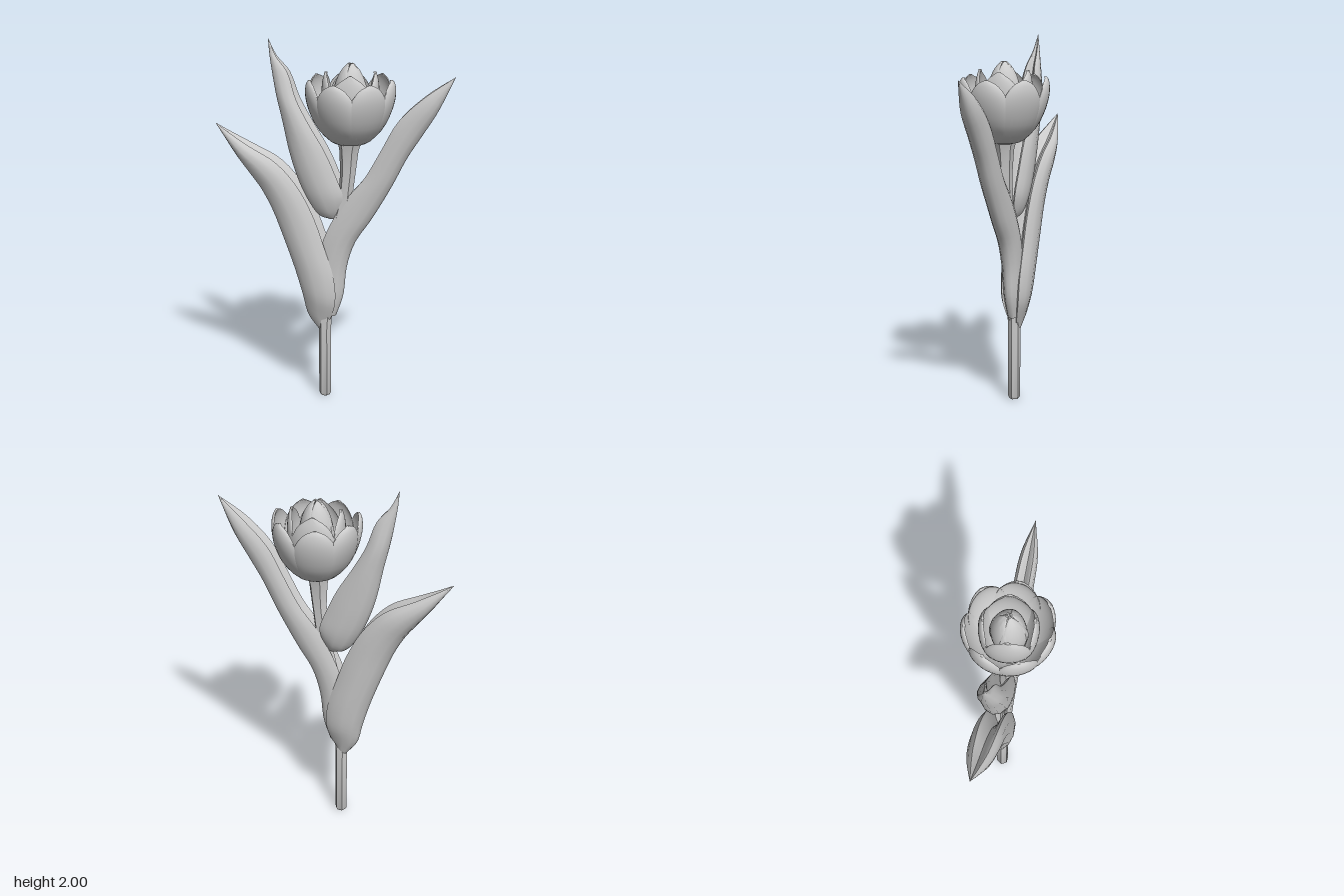
import * as THREE from 'three';
import { toCreasedNormals } from 'three/addons/utils/BufferGeometryUtils.js';

const V = (x, y, z = 0) => new THREE.Vector3(x, y, z);
const material = new THREE.MeshStandardMaterial({ color: 0xcccccc, side: THREE.DoubleSide });

// Skins a closed solid over a row of equal-length point loops
function loft(name, rings, crease = 0.75) {
  const n = rings[0].length, pts = rings.flat(), index = [];
  for (let i = 0; i < rings.length - 1; i++) {
    for (let j = 0; j < n; j++) {
      const a = i * n + j, b = i * n + (j + 1) % n;
      index.push(a, b, a + n, b, b + n, a + n);
    }
  }
  // Caps at both ends, fanned from the ring centres
  for (const end of [0, rings.length - 1]) {
    const centre = pts.length;
    pts.push(rings[end].reduce((s, p) => s.add(p), V(0, 0)).divideScalar(n));
    for (let j = 0; j < n; j++) {
      const a = end * n + j, b = end * n + (j + 1) % n;
      index.push(...(end ? [a, b, centre] : [b, a, centre]));
    }
  }
  // Turn the faces outward if the loops run the other way round
  let volume = 0;
  for (let i = 0; i < index.length; i += 3) {
    volume += pts[index[i]].dot(V(0, 0).crossVectors(pts[index[i + 1]], pts[index[i + 2]]));
  }
  if (volume < 0) index.reverse();
  const geo = new THREE.BufferGeometry().setFromPoints(pts);
  geo.setIndex(index);
  const mesh = new THREE.Mesh(toCreasedNormals(geo, crease), material);
  mesh.name = name;
  return mesh;
}

// Channel-shaped leaf. Each station: keel x, y, rim x, y, half width in z
function leaf(name, stations, groove, zShift) {
  const keel = new THREE.CatmullRomCurve3(stations.map(s => V(s[0], s[1], s[4])));
  const rim = new THREE.CatmullRomCurve3(stations.map(s => V(s[2], s[3])));
  // Section: [depth from keel to rim, share of the half width]
  const half = [[0.05, 0.45], [0.22, 0.85], [0.5, 1], [0.8, 0.92], [1, 0.62], [0.95, 0.45], [groove + 0.1, 0.22]];
  const section = [[0, 0], ...half, [groove, 0], ...half.map(([d, z]) => [d, -z]).reverse()];
  const rings = [], steps = 36;
  for (let i = 0; i <= steps; i++) {
    const k = keel.getPoint(i / steps), r = rim.getPoint(i / steps);
    const h = Math.max(k.z, 0.001);
    rings.push(section.map(([d, z]) =>
      V(k.x + (r.x - k.x) * d, k.y + (r.y - k.y) * d, z * h + zShift)));
  }
  return loft(name, rings);
}

// Cupped petal facing +z. Each station: distance from axis, y, half width
function petal(name, stations, angle) {
  const curve = new THREE.CatmullRomCurve3(stations.map(s => V(...s)));
  const rings = [], steps = 16, across = 10, bend = 1.1;
  for (let i = 0; i <= steps; i++) {
    const { x: r, y, z: w } = curve.getPoint(i / steps), ring = [];
    const arc = (u, inset) => V(
      w * Math.sin(u * bend) / Math.sin(bend), y,
      r - 0.75 * w * (1 - Math.cos(u * bend)) - inset * (1 - 0.7 * u * u));
    for (let j = 0; j <= across; j++) ring.push(arc(j / across * 2 - 1, 0));
    for (let j = across; j >= 0; j--) ring.push(arc(j / across * 2 - 1, 0.016));
    rings.push(ring);
  }
  const mesh = loft(name, rings);
  mesh.rotation.y = THREE.MathUtils.degToRad(angle);
  return mesh;
}

export function createModel() {
  const model = new THREE.Group();
  model.name = 'tulip';

  // Six-sided stem, bending right and flaring under the bloom
  const stem = [
    [-0.042, 0, 0.026], [-0.042, 0.015, 0.034], [-0.042, 0.4, 0.034], [-0.03, 0.6, 0.036],
    [0.015, 0.9, 0.04], [0.07, 1.15, 0.038], [0.085, 1.3, 0.042], [0.09, 1.42, 0.052], [0.095, 1.49, 0.07],
  ].map(([x, y, r]) => Array.from({ length: 6 }, (_, i) => {
    const a = i / 6 * Math.PI * 2;
    return V(x + r * Math.cos(a), y, r * Math.sin(a));
  }));
  model.add(loft('stem', stem));

  // Leaves, from the base to the tip
  model.add(leaf('rightLeaf', [
    [-0.075, 0.39, -0.02, 0.44, 0.025], [-0.14, 0.48, 0.0, 0.48, 0.045], [-0.17, 0.6, 0.025, 0.57, 0.075],
    [-0.215, 0.75, 0.02, 0.7, 0.085], [-0.28, 0.93, -0.03, 0.87, 0.085], [-0.34, 1.08, -0.09, 1.04, 0.083],
    [-0.4, 1.19, -0.18, 1.21, 0.083], [-0.46, 1.27, -0.3, 1.34, 0.082], [-0.53, 1.36, -0.45, 1.42, 0.065],
    [-0.6, 1.46, -0.57, 1.485, 0.03], [-0.65, 1.53, -0.648, 1.531, 0.001],
  ], 0.6, -0.006));
  model.add(leaf('leftLeaf', [
    [0.02, 0.48, -0.1, 0.48, 0.035], [0.06, 0.6, -0.1, 0.6, 0.045], [0.08, 0.77, -0.08, 0.77, 0.05],
    [0.125, 0.91, -0.045, 0.92, 0.053], [0.21, 1.04, 0.02, 1.06, 0.054], [0.275, 1.15, 0.09, 1.17, 0.054],
    [0.335, 1.26, 0.18, 1.28, 0.054], [0.405, 1.4, 0.265, 1.43, 0.054], [0.48, 1.52, 0.36, 1.6, 0.053],
    [0.56, 1.65, 0.5, 1.735, 0.045], [0.65, 1.84, 0.645, 1.837, 0.001],
  ], 0.65, -0.006));
  model.add(leaf('middleLeaf', [
    [-0.01, 1.035, 0.03, 1.05, 0.025], [-0.075, 1.055, 0.055, 1.11, 0.05], [-0.145, 1.15, 0.065, 1.18, 0.07],
    [-0.2, 1.27, 0.025, 1.29, 0.075], [-0.24, 1.4, -0.035, 1.42, 0.075], [-0.275, 1.57, -0.12, 1.56, 0.073],
    [-0.305, 1.7, -0.19, 1.69, 0.065], [-0.33, 1.83, -0.24, 1.83, 0.04], [-0.343, 1.92, -0.305, 1.91, 0.018],
    [-0.35, 2.0, -0.348, 1.998, 0.001],
  ], 0.55, -0.008));

  // Bloom: open outer petals, a tighter ring and a pointed bud
  const bloom = new THREE.Group();
  bloom.name = 'bloom';
  bloom.position.set(0.097, 0, -0.002);
  const outer = [[0.03, 1.455, 0.03], [0.1, 1.475, 0.075], [0.175, 1.55, 0.112], [0.222, 1.65, 0.12],
    [0.24, 1.73, 0.098], [0.237, 1.785, 0.055], [0.226, 1.81, 0.006]];
  const inner = [[0.03, 1.48, 0.03], [0.1, 1.53, 0.08], [0.14, 1.63, 0.115], [0.152, 1.72, 0.11],
    [0.148, 1.79, 0.075], [0.135, 1.845, 0.006]];
  const bud = [[0.02, 1.5, 0.03], [0.07, 1.57, 0.07], [0.09, 1.68, 0.083], [0.078, 1.78, 0.065],
    [0.05, 1.85, 0.035], [0.016, 1.89, 0.004]];
  for (const a of [-11, 40, 90, 142, 199, 248, 297]) bloom.add(petal('outerPetal', outer, a));
  for (let i = 0; i < 4; i++) {
    bloom.add(petal('innerPetal', inner, 12 + i * 90));
    bloom.add(petal('budPetal', bud, 40 + i * 90));
  }
  model.add(bloom);
  return model;
}
